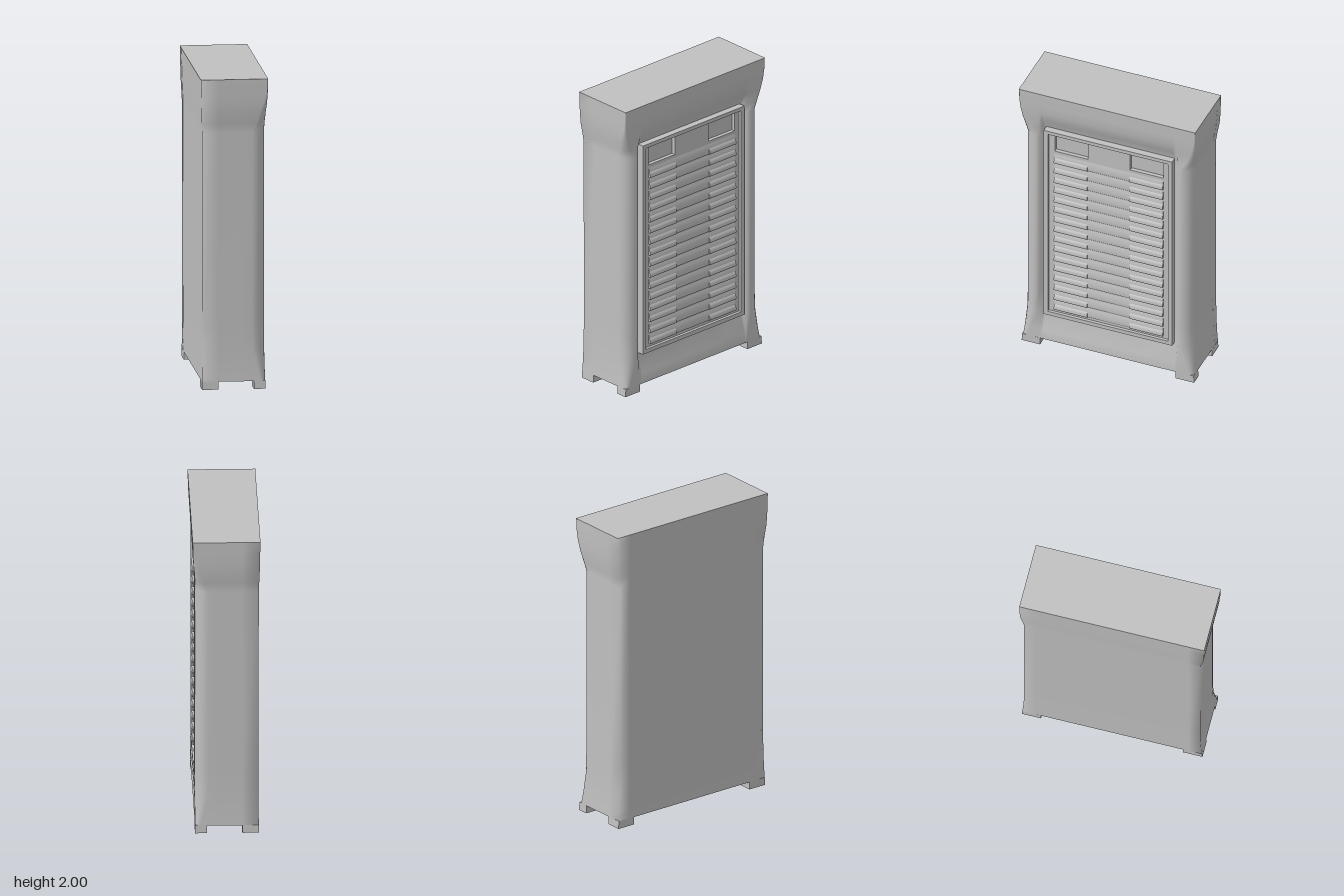
import * as THREE from 'three';
import { toCreasedNormals } from 'three/addons/utils/BufferGeometryUtils.js';

const grey = new THREE.MeshStandardMaterial({ color: 0xc0c0c0 });
grey.name = 'plain grey';

// Casing levels: y, half depth, back x, front x, corner radius, depth of the recess
const LEVELS = [
  [0.05, 0.588, 0.205, 0.2, 0.03, 0],
  [0.12, 0.583, 0.204, 0.2, 0.05, 0.004],
  [0.25, 0.578, 0.203, 0.2, 0.08, 0.045],
  [0.42, 0.576, 0.203, 0.2, 0.085, 0.045],
  [1.65, 0.576, 0.205, 0.2, 0.085, 0.045],
  [1.71, 0.585, 0.207, 0.2, 0.06, 0.045],
  [1.78, 0.597, 0.21, 0.204, 0.04, 0.014],
  [1.85, 0.602, 0.212, 0.21, 0.02, 0],
  [1.92, 0.604, 0.213, 0.213, 0.008, 0],
  [2.0, 0.605, 0.215, 0.215, 0.005, 0],
];

// Plan outline at one level: flat back, rounded front columns, sunken middle
function ring([, ze, xb, xf, r, d]) {
  const half = [[-xb, 0.5], [-xb, ze], [-0.1, ze], [0.05, ze]];
  for (let i = 0; i <= 5; i++) {
    const a = (i / 5) * Math.PI / 2;
    half.push([xf - r + r * Math.sin(a), ze - r + r * Math.cos(a)]);
  }
  half.push([xf - d * 0.25, 0.472], [xf - d * 0.8, 0.455], [xf - d, 0.443], [xf - d, 0.2]);
  return [...half, ...half.slice().reverse().map(([x, z]) => [x, -z])];
}

function casingGeometry() {
  const pos = [], idx = [];
  const n = ring(LEVELS[0]).length;
  LEVELS.forEach((level, k) => {
    for (const [x, z] of ring(level)) pos.push(x, level[0], z);
    if (!k) return;
    for (let j = 0; j < n; j++) {
      const a = (k - 1) * n + j, b = (k - 1) * n + (j + 1) % n;
      idx.push(a, b, b + n, a, b + n, a + n);
    }
  });
  const g = new THREE.BufferGeometry();
  g.setAttribute('position', new THREE.Float32BufferAttribute(pos, 3));
  g.setIndex(idx);
  g.computeVertexNormals();
  return g;
}

// Flat end of the casing, facing up (sign 1) or down (sign -1)
function capGeometry(level, sign) {
  const pts = ring(level).map(([x, z]) => new THREE.Vector2(x, -sign * z));
  return new THREE.ShapeGeometry(new THREE.Shape(pts))
    .rotateX(-sign * Math.PI / 2).translate(0, level[0], 0);
}

function rect(Type, z0, z1, y0, y1) {
  return new Type([[z0, y0], [z1, y0], [z1, y1], [z0, y1]].map(p => new THREE.Vector2(...p)));
}

// Upright plate facing +x with rectangular holes
function plate(outer, holes, x0, x1) {
  const s = rect(THREE.Shape, ...outer);
  for (const h of holes) s.holes.push(rect(THREE.Path, ...h));
  return new THREE.ExtrudeGeometry(s, { depth: x1 - x0, bevelEnabled: false })
    .rotateY(Math.PI / 2).translate(x0, 0, 0);
}

// Louvre blade: bulges out and curls under, running along z
function blade(depth, height, length) {
  const s = new THREE.Shape();
  s.moveTo(0, 0);
  s.lineTo(depth * 0.8, 0);
  s.bezierCurveTo(depth * 1.1, height * 0.2, depth * 0.9, height * 0.65, 0, height);
  s.closePath();
  const g = new THREE.ExtrudeGeometry(s, { depth: length, bevelEnabled: false, curveSegments: 6 })
    .translate(0, 0, -length / 2);
  return toCreasedNormals(g, 0.6);
}

export function createModel() {
  const model = new THREE.Group();
  const add = (name, geo, x = 0, y = 0, z = 0) => {
    const m = new THREE.Mesh(geo, grey);
    m.name = name;
    m.position.set(x, y, z);
    model.add(m);
    return m;
  };

  // Casing
  add('casing', casingGeometry());
  add('casingTop', capGeometry(LEVELS[LEVELS.length - 1], 1));
  add('casingUnderside', capGeometry(LEVELS[0], -1));

  // Feet, widening slightly towards the floor
  for (const s of [1, -1]) {
    for (const [x0, x1] of [[-0.205, -0.1], [0.125, 0.2]]) {
      const g = new THREE.BoxGeometry(x1 - x0, 0.052, 0.123);
      const p = g.attributes.position;
      for (let i = 0; i < p.count; i++) {
        if (p.getY(i) < 0 && p.getZ(i) * s > 0) p.setZ(i, p.getZ(i) + s * 0.003);
      }
      g.computeVertexNormals();
      add('foot', g, (x0 + x1) / 2, 0.026, s * 0.5265);
    }
  }

  // Grille frame and back plate with two sunken windows at the top
  add('grilleFrame', plate([-0.44, 0.44, 0.25, 1.71], [[-0.412, 0.412, 0.278, 1.685]], 0.15, 0.2));
  add('grillePlate', plate([-0.413, 0.413, 0.277, 1.686],
    [[-0.372, -0.145, 1.55, 1.675], [0.145, 0.372, 1.55, 1.675]], 0.152, 0.18));

  // Louvres: shallow full-width blades with deeper hoods on both sides
  const pitch = 0.0775;
  const shallow = blade(0.009, 0.066, 0.745);
  const hood = blade(0.018, 0.045, 0.228);
  for (let i = 0; i < 16; i++) {
    const y = 0.3 + i * pitch;
    add('louvre', shallow, 0.18, y, 0);
    for (const s of [1, -1]) add('louvreHood', hood, 0.18, y, s * 0.259);
  }
  return model;
}
